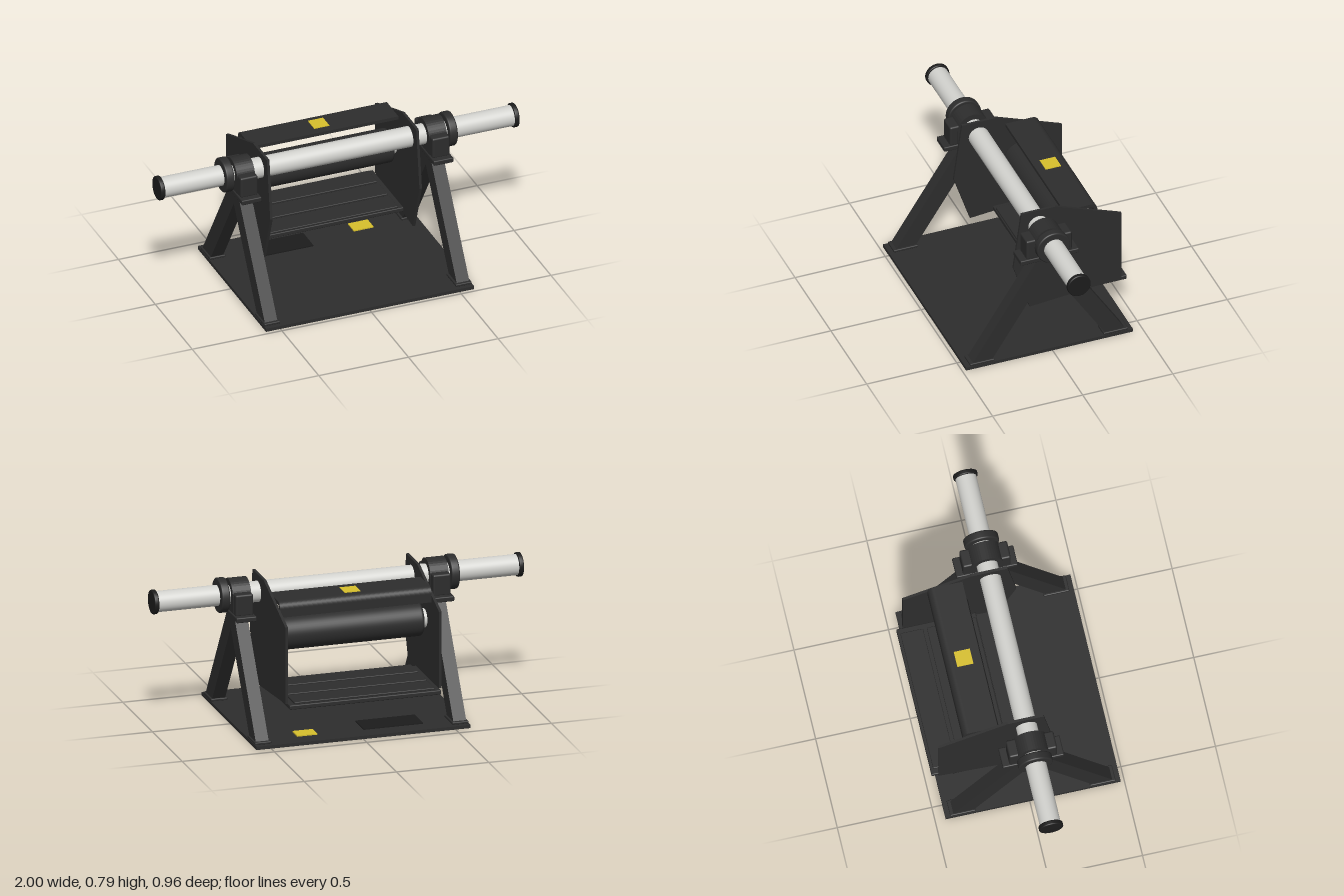
import * as THREE from 'three';
import { RoundedBoxGeometry } from 'three/addons/geometries/RoundedBoxGeometry.js';

const mat = (name, color) => {
  const m = new THREE.MeshStandardMaterial({ color });
  m.name = name;
  return m;
};

export function createModel() {
  const frame = mat('charcoal paint', 0x2d2d2d);
  const black = mat('black rubber', 0x1c1c1c);
  const steel = mat('pale steel', 0xd2d2ce);
  const yellow = mat('warning yellow', 0xd8c02c);

  const model = new THREE.Group();
  model.name = 'rollerStand';
  const SHAFT_Y = 0.7, SHAFT_Z = 0.018;

  const add = (name, geometry, material, x = 0, y = 0, z = 0) => {
    const mesh = new THREE.Mesh(geometry, material);
    mesh.name = name;
    mesh.position.set(x, y, z);
    model.add(mesh);
    return mesh;
  };
  // box given by its min and max on each axis
  const box = (name, material, [x0, x1], [y0, y1], [z0, z1], r = 0) => {
    const s = [x1 - x0, y1 - y0, z1 - z0];
    const g = r ? new RoundedBoxGeometry(...s, 3, r) : new THREE.BoxGeometry(...s);
    return add(name, g, material, (x0 + x1) / 2, (y0 + y1) / 2, (z0 + z1) / 2);
  };
  // side profile of [z, y] points, extruded along x
  const slab = (name, material, shape, width, x) => {
    const g = new THREE.ExtrudeGeometry(shape, { depth: width, bevelEnabled: false, curveSegments: 10 });
    g.rotateY(-Math.PI / 2).translate(width / 2, 0, 0);
    return add(name, g, material, x);
  };
  const poly = (pts) => new THREE.Shape(pts.map(([z, y]) => new THREE.Vector2(z, y)));
  // cylinder along x with softly rounded rims
  const drum = (name, material, r, length, x, y, z, rim = 0.006) => {
    const h = length / 2, pts = [[0, -h], [r - rim, -h]];
    for (let i = 1; i <= 4; i++) {
      const a = (i / 4) * Math.PI / 2;
      pts.push([r - rim + rim * Math.sin(a), -h + rim - rim * Math.cos(a)]);
    }
    const all = pts.concat(pts.slice().reverse().map(([a, b]) => [a, -b]));
    const g = new THREE.LatheGeometry(all.map(([a, b]) => new THREE.Vector2(a, b)), 48);
    g.rotateZ(Math.PI / 2);
    return add(name, g, material, x, y, z);
  };

  // base plate with sign and warning patch
  box('basePlate', frame, [-0.58, 0.58], [0, 0.018], [-0.445, 0.48]);
  box('baseSign', black, [-0.35, -0.03], [0.018, 0.024], [-0.355, -0.215]);
  box('baseWarningPatch', yellow, [0.22, 0.33], [0.018, 0.024], [-0.355, -0.275]);

  // main shaft
  const shaft = new THREE.CylinderGeometry(0.055, 0.055, 1.96, 48).rotateZ(Math.PI / 2);
  add('mainShaft', shaft, steel, 0, SHAFT_Y, SHAFT_Z);

  const legShape = poly([
    [0.44, 0.028], [0.085, 0.585], [-0.049, 0.585], [-0.404, 0.028],
    [-0.294, 0.028], [0.018, 0.515], [0.33, 0.028],
  ]);
  const cheekShape = poly([
    [0.11, 0.79], [-0.08, 0.79], [-0.445, 0.65], [-0.445, 0.235], [0.065, 0.19], [0.155, 0.46],
  ]);
  // bearing housing outline: flat shoulders with a round crown
  const housingShape = new THREE.Shape();
  housingShape.moveTo(SHAFT_Z - 0.085, 0.62);
  housingShape.lineTo(SHAFT_Z + 0.085, 0.62);
  housingShape.lineTo(SHAFT_Z + 0.085, SHAFT_Y);
  housingShape.absarc(SHAFT_Z, SHAFT_Y, 0.085, 0, Math.PI, false);
  housingShape.closePath();

  for (const s of [1, -1]) {
    const span = (a, b) => (s > 0 ? [a, b] : [-b, -a]);

    // A-frame with feet and top seat
    slab('aFrame', frame, legShape, 0.07, s * 0.535);
    box('frontFoot', frame, span(0.49, 0.578), [0.016, 0.031], [0.32, 0.455], 0.005);
    box('rearFoot', frame, span(0.49, 0.578), [0.016, 0.031], [-0.42, -0.285], 0.005);
    box('frameCap', frame, span(0.505, 0.565), [0.575, 0.595], [-0.045, 0.08]);

    // bearing
    box('bearingSeat', frame, span(0.48, 0.59), [0.592, 0.62], [-0.144, 0.18], 0.006);
    box('bearingShoulder', frame, span(0.487, 0.583), [0.615, 0.731], [-0.108, 0.145], 0.01);
    slab('bearingHousing', frame, housingShape, 0.1, s * 0.535);
    drum('shaftCollar', frame, 0.092, 0.045, s * 0.622, SHAFT_Y, SHAFT_Z, 0.008);
    drum('shaftEndCap', black, 0.064, 0.025, s * 0.9875, SHAFT_Y, SHAFT_Z);

    // cheek plate and roller stub
    slab('cheekPlate', frame, cheekShape, 0.014, s * 0.416);
    drum('rollerStub', steel, 0.05, 0.04, s * 0.395, 0.54, -0.2, 0.002);
  }

  // roller
  drum('roller', frame, 0.091, 0.77, 0, 0.54, -0.2, 0.016);

  // hood: flat top bent down along the rear edge
  const hood = new THREE.Shape();
  hood.moveTo(-0.13, 0.74);
  hood.lineTo(-0.28, 0.74);
  hood.absarc(-0.28, 0.705, 0.035, Math.PI / 2, Math.PI, false);
  hood.lineTo(-0.315, 0.66);
  hood.lineTo(-0.297, 0.66);
  hood.lineTo(-0.297, 0.705);
  hood.absarc(-0.28, 0.705, 0.017, Math.PI, Math.PI / 2, true);
  hood.lineTo(-0.13, 0.722);
  hood.closePath();
  slab('hood', frame, hood, 0.82, 0);
  box('hoodWarningPatch', yellow, [-0.042, 0.042], [0.74, 0.744], [-0.26, -0.175]);

  // lower tray with raised slats
  box('tray', frame, [-0.41, 0.41], [0.211, 0.235], [-0.48, -0.06], 0.005);
  for (const z of [-0.405, -0.265, -0.125]) {
    box('traySlat', frame, [-0.38, 0.38], [0.233, 0.246], [z - 0.06, z + 0.06], 0.004);
  }

  return model;
}
